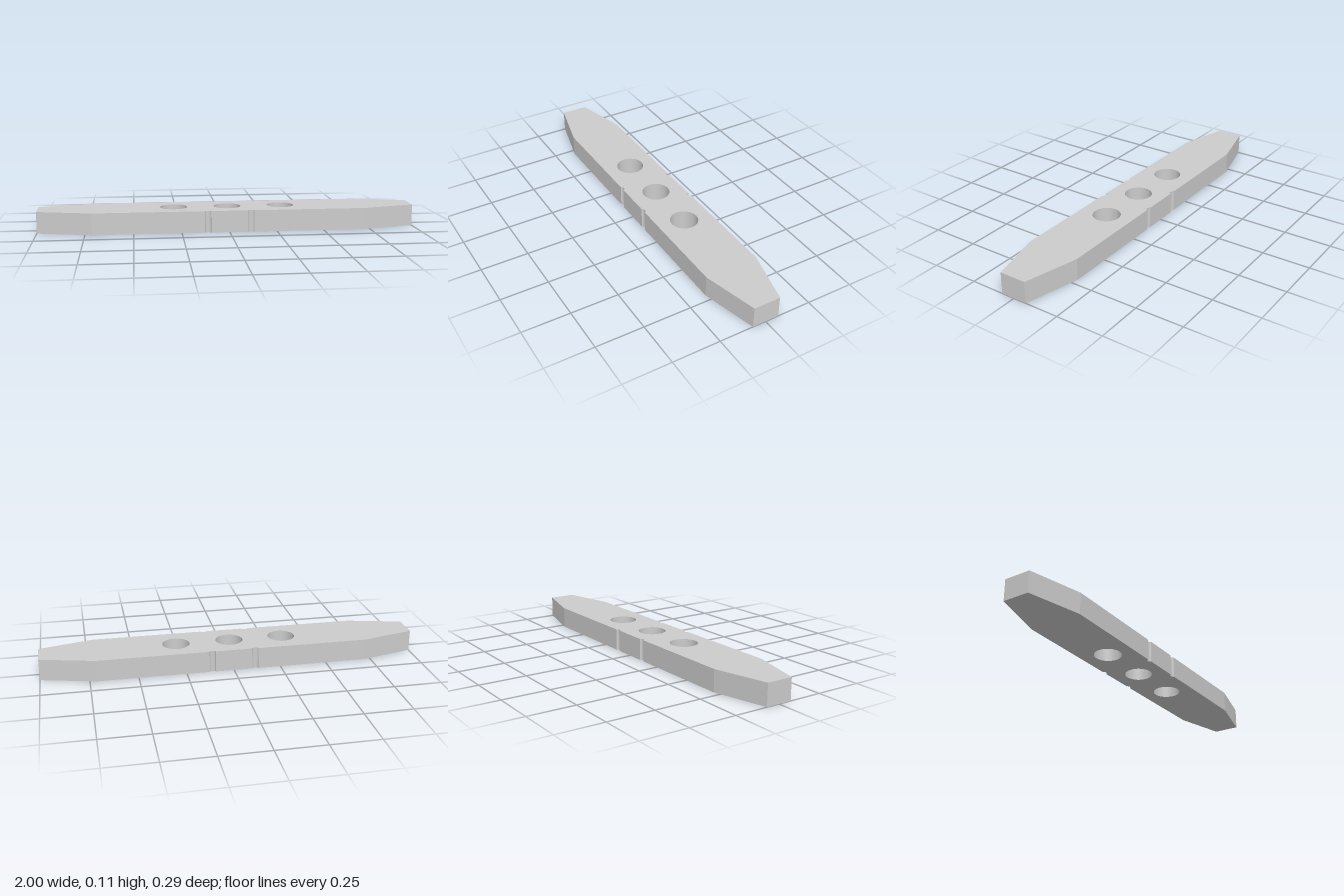
import * as THREE from 'three';
import { toCreasedNormals } from 'three/addons/utils/BufferGeometryUtils.js';

const HEIGHT = 0.114, HALF_WIDTH = 0.143, TIP_HALF_WIDTH = 0.071, TAPER_X = 0.714;
const HOLE_RADIUS = 0.072, HOLE_SPACING = 0.286;
const GROOVE_X = 0.114, GROOVE_HALF_WIDTH = 0.016, GROOVE_DEPTH = 0.011;

export function createModel() {
  const group = new THREE.Group();
  const outline = new THREE.Shape();

  // One long side with two shallow grooves; s = -1 or 1 picks the side
  const addSide = (s) => {
    outline.lineTo(s * TAPER_X, s * HALF_WIDTH);
    for (const x of [s * GROOVE_X, -s * GROOVE_X]) {
      const start = s > 0 ? 0 : Math.PI;
      outline.absellipse(x, s * HALF_WIDTH, GROOVE_HALF_WIDTH, GROOVE_DEPTH, start, start - Math.PI, true);
    }
    outline.lineTo(-s * TAPER_X, s * HALF_WIDTH);
  };

  // Bar outline with tapered, blunt ends
  outline.moveTo(-1, -TIP_HALF_WIDTH);
  addSide(-1);
  outline.lineTo(1, -TIP_HALF_WIDTH);
  outline.lineTo(1, TIP_HALF_WIDTH);
  addSide(1);
  outline.lineTo(-1, TIP_HALF_WIDTH);
  outline.closePath();

  // Three round through holes
  for (const i of [-1, 0, 1]) {
    const hole = new THREE.Path();
    hole.absarc(i * HOLE_SPACING, 0, HOLE_RADIUS, 0, Math.PI * 2, true);
    outline.holes.push(hole);
  }

  const extruded = new THREE.ExtrudeGeometry(outline, { depth: HEIGHT, bevelEnabled: false, curveSegments: 24 });
  extruded.rotateX(-Math.PI / 2);
  const bar = new THREE.Mesh(
    toCreasedNormals(extruded, 0.2),
    new THREE.MeshStandardMaterial({ color: 0xcccccc })
  );
  bar.name = 'taperedBar';
  group.add(bar);
  return group;
}
